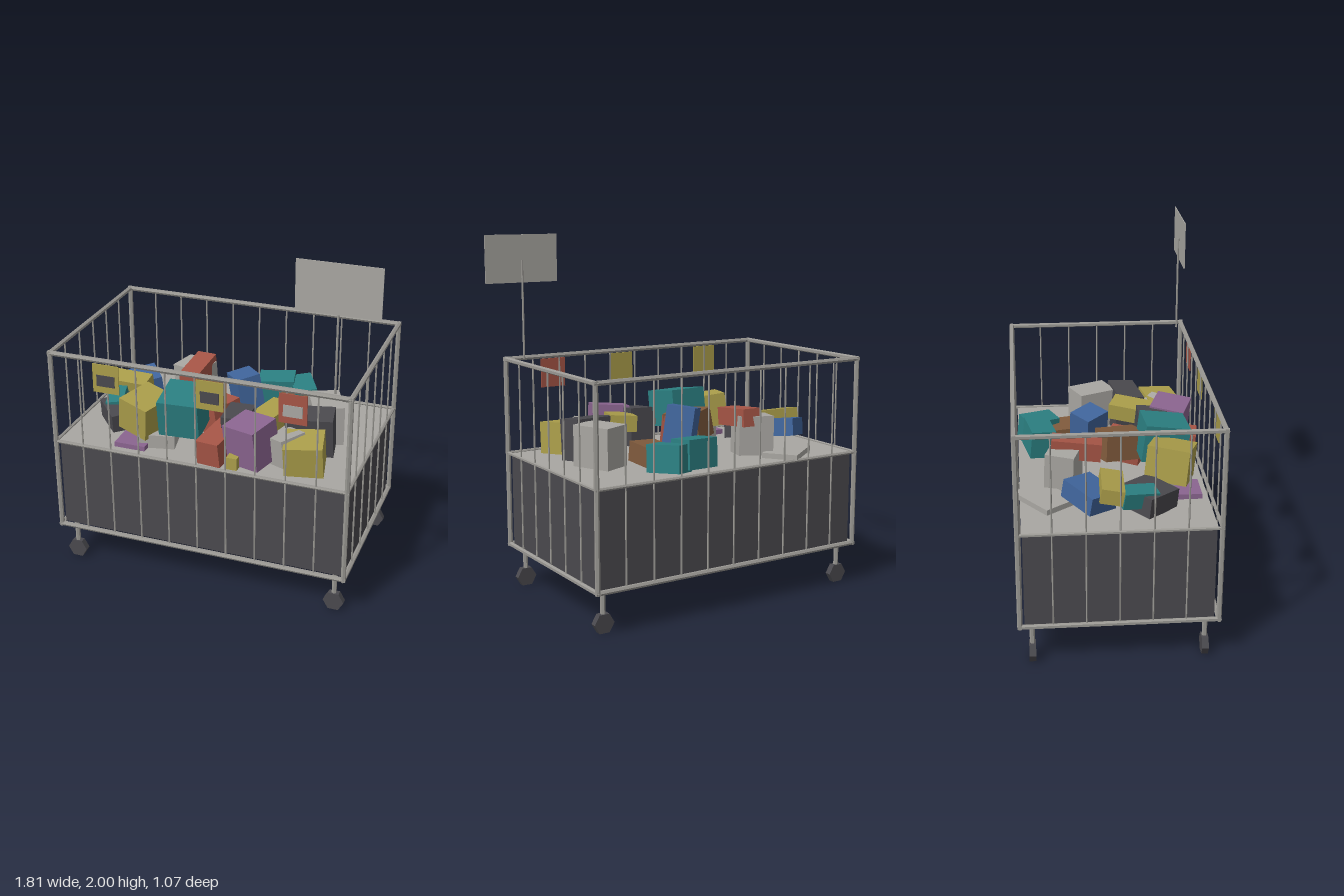
import * as THREE from 'three';

const mat = (name, color) => {
  const m = new THREE.MeshStandardMaterial({ color, flatShading: true });
  m.name = name;
  return m;
};

export function createModel() {
  const root = new THREE.Group();
  root.name = 'bargainBin';

  const M = {
    steel: mat('steel', 0x9a9893),
    pale: mat('paleGrey', 0xa9a7a2),
    dark: mat('charcoal', 0x4a494e),
    yellow: mat('yellow', 0xaa9d4a),
    red: mat('red', 0xa65546),
    blue: mat('blue', 0x40659c),
    teal: mat('teal', 0x2b7f81),
    purple: mat('purple', 0x8b6590),
    brown: mat('brown', 0x7f5a3c),
  };

  const add = (parent, name, geo, material, x, y, z) => {
    const mesh = new THREE.Mesh(geo, material);
    mesh.name = name;
    mesh.position.set(x, y, z);
    parent.add(mesh);
    return mesh;
  };
  const box = (parent, name, material, w, h, d, x, y, z) =>
    add(parent, name, new THREE.BoxGeometry(w, h, d), material, x, y, z);

  // Straight tube between two points
  const tube = (parent, name, a, b, r, sides = 6) => {
    const p = new THREE.Vector3(...a), q = new THREE.Vector3(...b);
    const dir = q.clone().sub(p), mid = p.clone().add(q).multiplyScalar(0.5);
    const mesh = add(parent, name, new THREE.CylinderGeometry(r, r, dir.length(), sides), M.steel, mid.x, mid.y, mid.z);
    mesh.quaternion.setFromUnitVectors(new THREE.Vector3(0, 1, 0), dir.normalize());
    return mesh;
  };

  const X0 = -0.893, X1 = 0.783, Z = 0.519, Y0 = 0.236, YM = 0.772, Y1 = 1.309;
  const CX = (X0 + X1) / 2;

  // Tub with a pale shelf closing its top
  box(root, 'tub', M.dark, 1.65, 0.525, 0.99, CX, 0.503, 0);
  box(root, 'shelf', M.pale, 1.655, 0.008, 1.0, CX, 0.768, 0);

  // Cage: corner posts, three rings of rails, thin wires
  const cage = new THREE.Group();
  cage.name = 'cage';
  root.add(cage);
  for (const x of [X0, X1]) for (const z of [-Z, Z]) tube(cage, 'cornerPost', [x, Y0 - 0.01, z], [x, Y1 + 0.01, z], 0.014);
  for (const y of [Y0, YM, Y1]) {
    const r = y === YM ? 0.010 : 0.014;
    for (const z of [-Z, Z]) tube(cage, 'longRail', [X0 - 0.012, y, z], [X1 + 0.012, y, z], r);
    for (const x of [X0, X1]) tube(cage, 'sideRail', [x, y, -Z - 0.012], [x, y, Z + 0.012], r);
  }
  for (let i = 1; i < 10; i++) {
    const x = X0 + (X1 - X0) * i / 10;
    for (const z of [-Z, Z]) tube(cage, 'wire', [x, Y0, z], [x, Y1, z], 0.005, 5);
  }
  for (let i = 1; i < 6; i++) {
    const z = -Z + 2 * Z * i / 6;
    for (const x of [X0, X1]) tube(cage, 'wire', [x, Y0, z], [x, Y1, z], 0.005, 5);
  }

  // Casters with six-sided wheels, points facing left and right
  for (const x of [-0.83, 0.72]) for (const z of [-0.456, 0.456]) {
    const caster = new THREE.Group();
    caster.name = 'caster';
    caster.position.set(x, 0, z);
    root.add(caster);
    tube(caster, 'casterStem', [0, 0.07, 0], [0, 0.25, 0], 0.014);
    const geo = new THREE.CylinderGeometry(0.058, 0.058, 0.036, 6);
    geo.rotateY(Math.PI / 2).rotateX(Math.PI / 2);
    add(caster, 'wheel', geo, M.dark, 0, 0.0502, 0);
  }

  // Sign on a pole
  tube(root, 'signPole', [0.688, Y1, 0.48], [0.688, 1.86, 0.48], 0.006);
  box(root, 'signBoard', M.pale, 0.436, 0.265, 0.005, 0.688, 1.8675, 0.488);

  // Price tags hung on the front
  for (const [x, face, inset] of [[-0.56, 'yellow', 'dark'], [0.033, 'yellow', 'dark'], [0.485, 'red', 'pale']]) {
    box(root, 'priceTag', M[face], 0.152, 0.165, 0.006, x, 1.21, 0.529);
    box(root, 'tagPanel', M[inset], 0.105, 0.065, 0.004, x, 1.198, 0.533);
  }

  // Heaped cartons: colour, centre x y z, size w h d, turn, tilt x, tilt z (degrees)
  const heap = new THREE.Group();
  heap.name = 'cartons';
  root.add(heap);
  const carton = (color, x, y, z, w, h, d, turn = 0, tx = 0, tz = 0) => {
    const m = box(heap, color + 'Carton', M[color], w, h, d, x, y, z);
    m.rotation.set(...[tx, turn, tz].map(THREE.MathUtils.degToRad), 'YXZ');
  };
  // back left
  carton('pale', -0.52, 0.79, -0.37, 0.29, 0.03, 0.2, 37);
  carton('pale', -0.36, 0.89, -0.26, 0.2, 0.22, 0.16, -18, 3, 2);
  carton('red', -0.32, 0.985, -0.19, 0.115, 0.1, 0.27, -3, 6, 0);
  carton('blue', -0.67, 0.88, -0.14, 0.23, 0.1, 0.18, 38, 5, 8);
  // left
  carton('yellow', -0.69, 0.925, -0.03, 0.255, 0.08, 0.12, -2, 10, 0);
  carton('teal', -0.7, 0.87, 0.11, 0.1, 0.09, 0.19, 15, 6, 8);
  carton('dark', -0.63, 0.835, 0.17, 0.22, 0.11, 0.22, 43, 4, 4);
  // front left
  carton('purple', -0.47, 0.785, 0.39, 0.18, 0.03, 0.15, 0);
  carton('yellow', -0.43, 0.94, 0.31, 0.2, 0.19, 0.23, -20, 4, -7);
  carton('pale', -0.35, 0.81, 0.32, 0.2, 0.08, 0.18, 12);
  carton('teal', -0.21, 0.98, 0.29, 0.23, 0.21, 0.245, 4, 8, 0);
  // centre
  carton('brown', -0.14, 0.92, 0.06, 0.15, 0.16, 0.23, 22, 6, -8);
  carton('red', -0.07, 0.88, 0.1, 0.13, 0.16, 0.2, -25, 4, 6);
  carton('blue', 0.01, 0.955, -0.1, 0.14, 0.21, 0.16, 42, -6, 8);
  carton('dark', 0.1, 0.9, 0.26, 0.145, 0.22, 0.17, 0, 5, 2);
  carton('red', 0.03, 0.86, 0.37, 0.14, 0.14, 0.28, -10, 5, 3);
  carton('yellow', 0.25, 0.955, 0.17, 0.15, 0.09, 0.25, -20, 5, 4);
  carton('purple', 0.21, 0.905, 0.38, 0.21, 0.23, 0.2, -20, 6, 4);
  carton('yellow', 0.14, 0.81, 0.46, 0.06, 0.07, 0.08);
  // back right
  carton('teal', 0.11, 0.86, -0.38, 0.21, 0.16, 0.14, 12, 5, 3);
  carton('teal', 0.27, 0.85, -0.38, 0.13, 0.15, 0.2, 28, 4, 5);
  carton('brown', 0.25, 0.83, -0.23, 0.165, 0.11, 0.3, 4, -4, 3);
  // right
  carton('pale', 0.5, 0.885, -0.05, 0.175, 0.23, 0.23, 24);
  carton('dark', 0.47, 0.89, 0.14, 0.26, 0.23, 0.155, 10, 6, 2);
  carton('pale', 0.4, 0.875, 0.34, 0.14, 0.16, 0.16, -35, 4, 10);
  carton('yellow', 0.5, 0.865, 0.35, 0.21, 0.18, 0.2, 12, 6, 3);

  return root;
}
